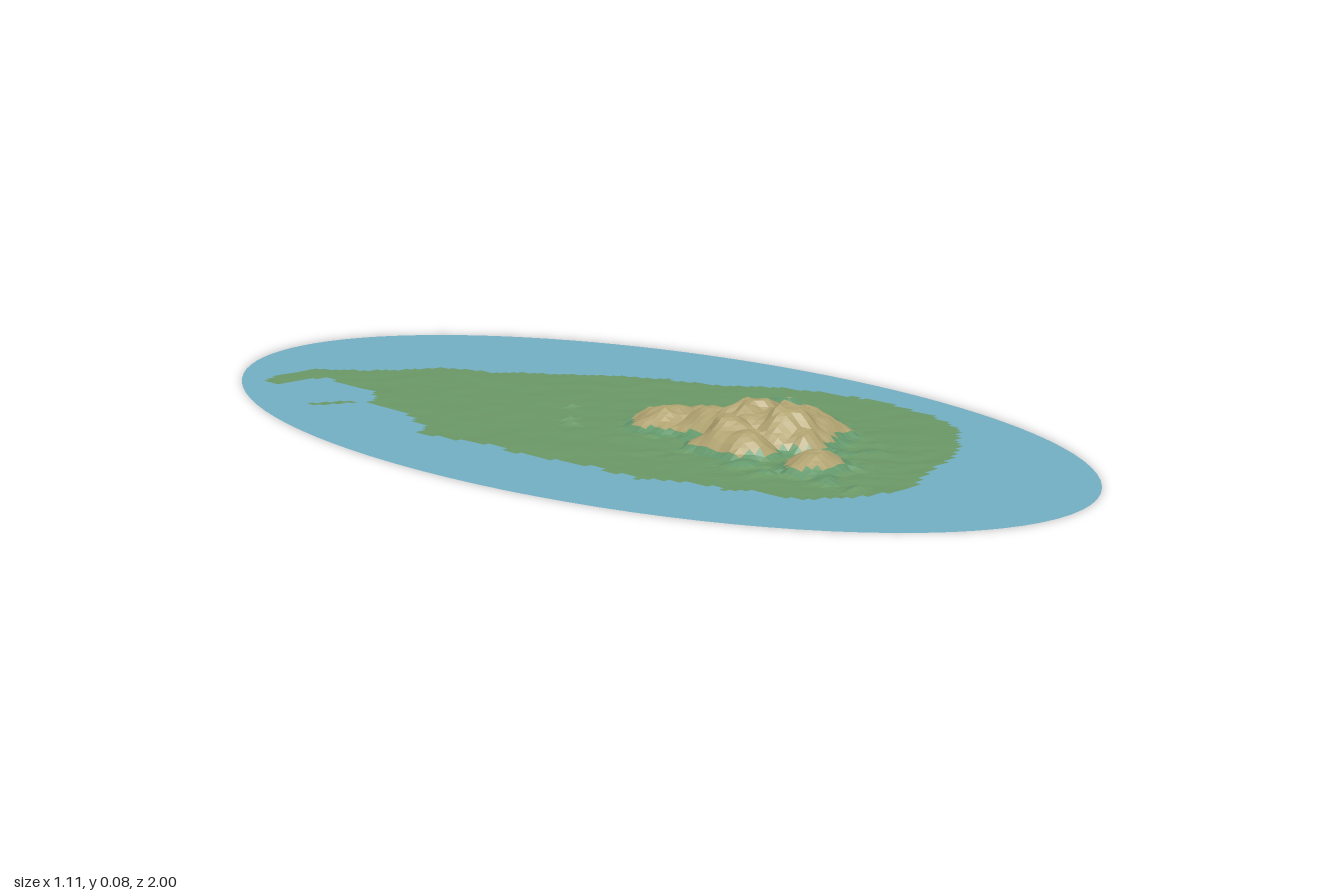
import * as THREE from 'three';

const CELL = 0.0125;

// Coast as rows of z, west x, east x
const COAST = [
  [-0.735, -0.30, -0.18], [-0.70, -0.33, -0.17], [-0.67, -0.335, -0.14], [-0.655, -0.24, -0.13],
  [-0.605, -0.235, -0.07], [-0.55, -0.25, 0.01], [-0.47, -0.235, 0.05], [-0.43, -0.26, 0.06],
  [-0.39, -0.31, 0.10], [-0.34, -0.32, 0.13], [-0.29, -0.315, 0.17], [-0.235, -0.33, 0.21],
  [-0.18, -0.35, 0.24], [-0.13, -0.385, 0.265], [-0.05, -0.39, 0.29], [0, -0.37, 0.31],
  [0.085, -0.365, 0.365], [0.14, -0.36, 0.39], [0.245, -0.35, 0.41], [0.35, -0.345, 0.41],
  [0.40, -0.33, 0.395], [0.51, -0.30, 0.36], [0.56, -0.28, 0.32], [0.615, -0.265, 0.25],
  [0.67, -0.235, 0.15], [0.705, -0.19, 0.03], [0.742, -0.115, -0.065],
];

// Peaks: x, z, height, radius
const PEAKS = [
  [0.005, 0.33, 0.080, 0.12], [0.01, 0.41, 0.078, 0.10], [-0.08, 0.36, 0.066, 0.09], [-0.10, 0.41, 0.052, 0.07],
  [0.09, 0.35, 0.060, 0.10], [0.15, 0.35, 0.050, 0.07], [0.08, 0.42, 0.052, 0.08], [-0.02, 0.25, 0.054, 0.09],
  [-0.04, 0.17, 0.050, 0.09], [0.02, 0.19, 0.046, 0.07], [-0.04, 0.12, 0.034, 0.06], [-0.09, 0.555, 0.044, 0.075],
];
const HILLS = [
  [0.25, 0.20, 0.024, 0.04], [0.23, 0.25, 0.019, 0.035], [0.16, 0.17, 0.016, 0.03], [0.26, 0.165, 0.018, 0.03],
  [-0.05, -0.09, 0.013, 0.02], [-0.13, -0.02, 0.013, 0.02], [-0.15, 0.02, 0.013, 0.02], [-0.16, 0.45, 0.019, 0.045],
  [-0.18, 0.52, 0.016, 0.035], [-0.14, 0.62, 0.018, 0.04], [-0.05, 0.62, 0.015, 0.03], [-0.12, 0.20, 0.014, 0.03],
  [0.18, 0.28, 0.016, 0.03], [0.02, 0.53, 0.014, 0.03], [-0.15, 0.68, 0.013, 0.025],
];

// Seeded value noise, 0 to 1
const hash = (i, j) => {
  const s = Math.sin(i * 127.1 + j * 311.7) * 43758.5453;
  return s - Math.floor(s);
};
function noise(x, y) {
  const i = Math.floor(x), j = Math.floor(y), u = x - i, v = y - j;
  const mix = THREE.MathUtils.lerp;
  return mix(mix(hash(i, j), hash(i + 1, j), u), mix(hash(i, j + 1), hash(i + 1, j + 1), u), v);
}

function isLand(x, z) {
  // sand spit off the north-west coast
  if (Math.abs(z + 0.445 - (x + 0.37) * 0.5) < 0.013 && x > -0.40 && x < -0.325) return true;
  for (let i = 1; i < COAST.length; i++) {
    const [z0, w0, e0] = COAST[i - 1], [z1, w1, e1] = COAST[i];
    if (z < z0 || z > z1) continue;
    const t = (z - z0) / (z1 - z0);
    const west = THREE.MathUtils.lerp(w0, w1, t) + (noise(z * 45, 3) - 0.5) * 0.025;
    const east = THREE.MathUtils.lerp(e0, e1, t) + (noise(z * 45, 9) - 0.5) * 0.015;
    return x > west && x < east;
  }
  return false;
}

function height(x, z) {
  const wx = x + (noise(x * 38, z * 38) - 0.5) * 0.03;
  const wz = z + (noise(x * 38 + 50, z * 38) - 0.5) * 0.03;
  let h = 0.005 + 0.002 * noise(x * 25, z * 25);
  // low foothills surround the mountains
  const foot = Math.max(0, 1 - Math.hypot(x / 0.28, (z - 0.38) / 0.36));
  h += foot * 0.012 * noise(x * 40 + 7, z * 40);
  for (const [px, pz, top, r] of PEAKS.concat(HILLS)) {
    const k = 1 - Math.hypot(wx - px, wz - pz) / r;
    if (k > 0) h = Math.max(h, 0.006 + (top - 0.006) * Math.min(1, k * 1.25) * (0.85 + 0.2 * noise(x * 60, z * 60)));
  }
  return h;
}

export function createModel() {
  const sea = new THREE.MeshStandardMaterial({ color: 0x74b0c6, side: THREE.DoubleSide });
  const green = new THREE.MeshStandardMaterial({ color: 0x6c9a68, flatShading: true, side: THREE.DoubleSide });
  const hillGreen = new THREE.MeshStandardMaterial({ color: 0x64986c, flatShading: true, side: THREE.DoubleSide });
  const tan = new THREE.MeshStandardMaterial({ color: 0xb0a270, flatShading: true, side: THREE.DoubleSide });
  sea.name = 'sea blue';
  green.name = 'lowland green';
  hillGreen.name = 'hill green';
  tan.name = 'mountain tan';

  const group = new THREE.Group();
  const add = (name, geometry, material) => {
    const mesh = new THREE.Mesh(geometry, material);
    mesh.name = name;
    group.add(mesh);
  };

  // Flat oval sea
  add('sea', new THREE.CircleGeometry(1, 96).scale(0.555, 1, 1).rotateX(-Math.PI / 2), sea);

  // Terrain cells sorted into three height bands
  const bands = { lowland: [], hills: [], mountains: [] };
  for (let x = -0.425; x < 0.43; x += CELL) {
    for (let z = -0.75; z < 0.75; z += CELL) {
      if (!isLand(x + CELL / 2, z + CELL / 2)) continue;
      const corner = (dx, dz) => [x + dx * CELL, height(x + dx * CELL, z + dz * CELL), z + dz * CELL];
      const a = corner(0, 0), b = corner(0, 1), c = corner(1, 1), d = corner(1, 0);
      const mean = (a[1] + b[1] + c[1] + d[1]) / 4;
      const band = mean > 0.021 ? 'mountains' : mean > 0.011 ? 'hills' : 'lowland';
      bands[band].push(...a, ...b, ...c, ...a, ...c, ...d);
    }
  }
  const colours = { lowland: green, hills: hillGreen, mountains: tan };
  for (const [name, points] of Object.entries(bands)) {
    const geometry = new THREE.BufferGeometry();
    geometry.setAttribute('position', new THREE.Float32BufferAttribute(points, 3));
    geometry.computeVertexNormals();
    add(name, geometry, colours[name]);
  }
  return group;
}
